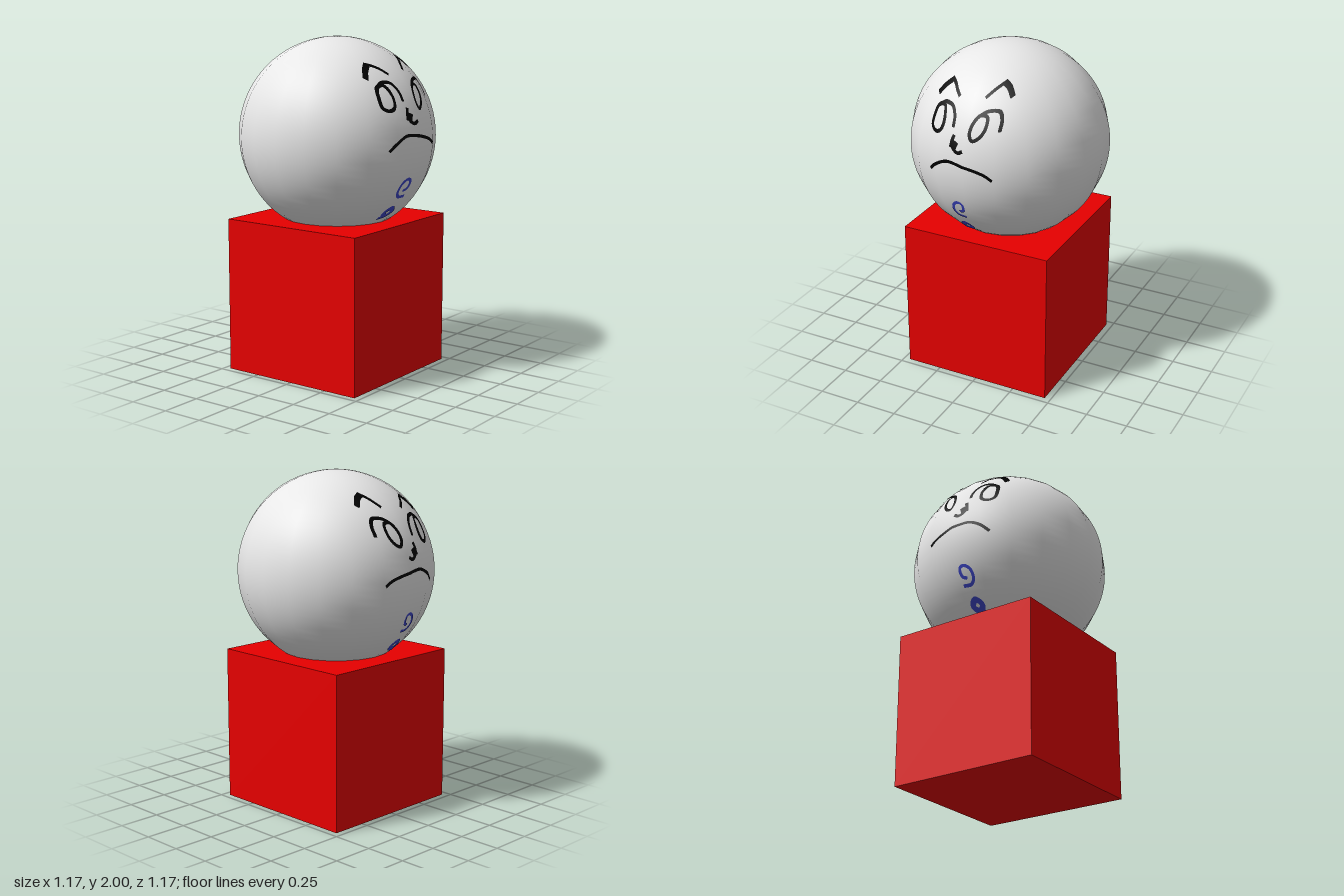
import * as THREE from 'three';

const R = 0.585, CY = 1.415;      // head radius and centre height
const SIDES = 20, RINGS = 40;     // head facets
const CUBE = 0.925;

const white = new THREE.MeshStandardMaterial({ color: 0xffffff, name: 'white' });
const red = new THREE.MeshStandardMaterial({ color: 0xff0000, name: 'red' });
const black = new THREE.MeshStandardMaterial({ color: 0x000000, name: 'black' });
const blue = new THREE.MeshStandardMaterial({ color: 0x3f48cc, name: 'blue' });

// Depth of the faceted head at a given x and y
function headDepth(x, y) {
  const dy = y - CY, step = Math.PI / RINGS;
  const i = Math.floor(Math.acos(dy / R) / step);
  const y0 = R * Math.cos(i * step), y1 = R * Math.cos((i + 1) * step);
  const r0 = R * Math.sin(i * step), r1 = R * Math.sin((i + 1) * step);
  const r = r0 + (r1 - r0) * (y0 - dy) / (y0 - y1);
  let z = Infinity;
  for (let k = -4.5; k < 5; k++) {
    const a = k * 2 * Math.PI / SIDES;
    z = Math.min(z, (r * Math.cos(Math.PI / SIDES) - x * Math.sin(a)) / Math.cos(a));
  }
  return z;
}

// Brush stroke projected along z onto the front (side 1) or back (side -1)
function strokeGeometry(points, width, closed, side) {
  const curve = new THREE.CatmullRomCurve3(
    points.map(([x, y]) => new THREE.Vector3(x, y, 0)), closed, 'centripetal');
  const n = points.length * 8, lift = 1.006;
  const pos = [], nor = [], idx = [];
  for (let i = 0; i <= n; i++) {
    const p = curve.getPoint(i / n), t = curve.getTangent(i / n);
    for (const s of [1, -1]) {
      const x = p.x - t.y * s * width / 2, y = p.y + t.x * s * width / 2;
      const v = new THREE.Vector3(x, y - CY, side * headDepth(x, y));
      const m = v.clone().normalize();
      nor.push(m.x, m.y, m.z);
      v.multiplyScalar(lift);
      pos.push(v.x, v.y + CY, v.z);
    }
    if (i < n) {
      const l = 2 * i, r = l + 1, l2 = l + 2, r2 = l + 3;
      if (side > 0) idx.push(r, r2, l, l, r2, l2);
      else idx.push(r, l, r2, l, l2, r2);
    }
  }
  const g = new THREE.BufferGeometry();
  g.setAttribute('position', new THREE.Float32BufferAttribute(pos, 3));
  g.setAttribute('normal', new THREE.Float32BufferAttribute(nor, 3));
  g.setIndex(idx);
  return g;
}

// Name, material, width, closed, points
const strokes = [
  ['rightEyebrowOuter', black, 0.026, false, [[-0.25, 1.78], [-0.215, 1.825], [-0.178, 1.857]]],
  ['rightEyebrowInner', black, 0.017, false, [[-0.19, 1.86], [-0.15, 1.845], [-0.092, 1.8]]],
  ['leftEyebrowInner', black, 0.017, false, [[0.062, 1.815], [0.1, 1.855], [0.138, 1.888]]],
  ['leftEyebrowOuter', black, 0.024, false, [[0.128, 1.887], [0.165, 1.865], [0.2, 1.825]]],
  ['rightEye', black, 0.02, true, [[-0.235, 1.675], [-0.233, 1.625], [-0.2, 1.608], [-0.165, 1.625],
    [-0.152, 1.685], [-0.175, 1.745], [-0.217, 1.733]]],
  ['rightEyelid', black, 0.019, false, [[-0.217, 1.733], [-0.17, 1.76], [-0.12, 1.754], [-0.09, 1.71],
    [-0.085, 1.653]]],
  ['leftEye', black, 0.019, true, [[0.024, 1.635], [0.032, 1.69], [0.065, 1.735], [0.103, 1.73],
    [0.107, 1.675], [0.08, 1.625], [0.042, 1.605]]],
  ['leftEyelid', black, 0.018, false, [[0.065, 1.737], [0.1, 1.757], [0.16, 1.762], [0.183, 1.725],
    [0.185, 1.665]]],
  ['nose', black, 0.02, false, [[-0.07, 1.618], [-0.082, 1.57], [-0.062, 1.54], [-0.035, 1.528],
    [-0.006, 1.542]]],
  ['noseTip', black, 0.045, false, [[-0.092, 1.572], [-0.07, 1.568], [-0.045, 1.558]]],
  ['mouth', black, 0.018, false, [[-0.23, 1.385], [-0.18, 1.43], [-0.11, 1.463], [-0.04, 1.461],
    [0.06, 1.442], [0.13, 1.42], [0.17, 1.395]]],
  ['upperButton', blue, 0.018, false, [[-0.06, 1.14], [-0.032, 1.155], [-0.03, 1.2], [-0.055, 1.21],
    [-0.09, 1.185], [-0.098, 1.135], [-0.075, 1.107], [-0.025, 1.105]]],
  ['lowerButton', blue, 0.03, true, [[-0.035, 1.005], [-0.065, 1.033], [-0.093, 1.005], [-0.065, 0.98]]],
  ['lowerButtonTail', blue, 0.02, false, [[-0.105, 0.97], [-0.085, 0.972], [-0.06, 0.98]]],
];

export function createModel() {
  const model = new THREE.Group();
  const add = (name, geometry, material, parent = model) => {
    const mesh = new THREE.Mesh(geometry, material);
    mesh.name = name;
    parent.add(mesh);
    return mesh;
  };

  // Cube body and round head
  add('body', new THREE.BoxGeometry(CUBE, CUBE, CUBE), red).position.y = CUBE / 2;
  add('head', new THREE.SphereGeometry(R, SIDES, RINGS), white).position.y = CY;

  // The same drawing on the front and the back of the head
  for (const [side, name] of [[1, 'frontFace'], [-1, 'backFace']]) {
    const face = new THREE.Group();
    face.name = name;
    model.add(face);
    for (const [part, material, width, closed, points] of strokes) {
      add(part, strokeGeometry(points, width, closed, side), material, face);
    }
  }
  return model;
}
